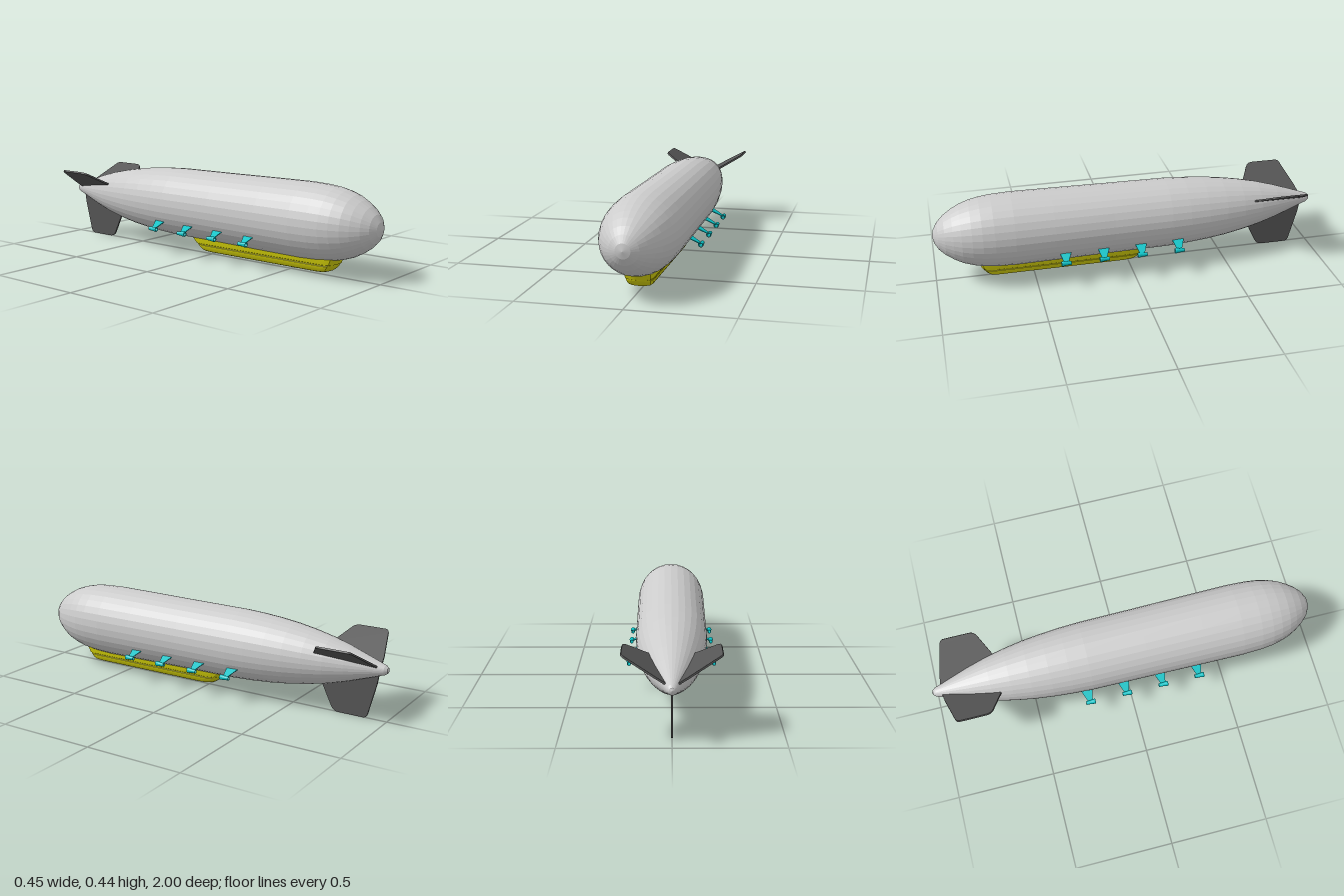
import * as THREE from 'three';
import { toCreasedNormals } from 'three/addons/utils/BufferGeometryUtils.js';

const AXIS_Y = 0.256;
const grey = new THREE.MeshStandardMaterial({ color: 0xcccccc, flatShading: true });
const dark = new THREE.MeshStandardMaterial({ color: 0x555555 });
const yellow = new THREE.MeshStandardMaterial({ color: 0xd2ce08, side: THREE.DoubleSide });
const teal = new THREE.MeshStandardMaterial({ color: 0x08c4c8, side: THREE.DoubleSide });

function add(parent, name, geometry, material) {
  const mesh = new THREE.Mesh(geometry, material);
  mesh.name = name;
  parent.add(mesh);
  return mesh;
}

// Flat plate: shape x runs outward, shape y runs along world z
function plate(shape, thickness) {
  const g = new THREE.ExtrudeGeometry(shape, { depth: thickness, bevelEnabled: false, curveSegments: 6 });
  g.translate(0, 0, -thickness / 2);
  g.rotateX(Math.PI / 2);
  return g;
}

// Envelope: [radius, z] from tail to nose
function hullGeometry() {
  const profile = [
    [0, -1], [0.014, -0.994], [0.024, -0.98], [0.034, -0.95], [0.051, -0.9], [0.085, -0.8],
    [0.114, -0.7], [0.136, -0.6], [0.153, -0.5], [0.165, -0.4], [0.173, -0.3], [0.178, -0.2],
    [0.181, 0.1], [0.185, 0.4], [0.187, 0.6], [0.183, 0.7], [0.176, 0.76], [0.165, 0.81],
    [0.148, 0.86], [0.127, 0.9], [0.1, 0.94], [0.069, 0.972], [0.035, 0.992], [0, 1],
  ].map(([r, z]) => new THREE.Vector2(r, z));
  return new THREE.LatheGeometry(profile, 32).rotateX(Math.PI / 2);
}

// Tail fin with rounded outer corners
function finGeometry() {
  const s = new THREE.Shape();
  s.moveTo(0.03, -0.95);
  s.lineTo(0.08, -0.942);
  s.lineTo(0.235, -0.902);
  s.quadraticCurveTo(0.256, -0.897, 0.256, -0.878);
  s.lineTo(0.256, -0.75);
  s.quadraticCurveTo(0.256, -0.722, 0.232, -0.71);
  s.lineTo(0.12, -0.655);
  s.lineTo(0.03, -0.655);
  s.closePath();
  return plate(s, 0.009);
}

// Gondola: plan outlines stacked from the roof down to the keel
function gondolaGeometry() {
  // [y, half width, front z, back z]
  const levels = [
    [0.1, 0.071, 0.79, -0.115], [0.085, 0.07, 0.782, -0.11], [0.063, 0.067, 0.773, -0.09],
    [0.061, 0.064, 0.768, -0.085], [0.057, 0.064, 0.767, -0.083], [0.055, 0.066, 0.766, -0.08],
    [0.036, 0.061, 0.752, -0.06], [0.027, 0.056, 0.74, -0.048], [0.022, 0.047, 0.725, -0.04],
  ];
  // [fraction of half width, distance from the front (+) or back (-)]
  const half = [[0, 0.0001], [0.55, 0.006], [0.88, 0.02], [1, 0.05], [1, -0.075], [0.85, -0.03], [0.5, -0.006], [0, -0.0001]];
  const plan = [...half, ...half.slice(1, -1).reverse().map(([w, d]) => [-w, d])];
  const n = plan.length, pos = [], idx = [];
  for (const [y, w, zf, zb] of levels)
    for (const [fx, d] of plan) pos.push(fx * w, y, d > 0 ? zf - d : zb - d);
  for (let l = 0; l < levels.length - 1; l++)
    for (let i = 0; i < n; i++) {
      const a = l * n + i, b = l * n + (i + 1) % n;
      idx.push(a, a + n, b, b, a + n, b + n);
    }
  // Keel and roof caps
  const last = (levels.length - 1) * n;
  for (let i = 1; i < n - 1; i++) {
    idx.push(last, last + i + 1, last + i);
    idx.push(0, i, i + 1);
  }
  const g = new THREE.BufferGeometry();
  g.setAttribute('position', new THREE.Float32BufferAttribute(pos, 3));
  g.setIndex(idx);
  // Make every side face point outward
  const p = g.attributes.position, va = new THREE.Vector3(), vb = new THREE.Vector3(), vc = new THREE.Vector3();
  [va, vb, vc].forEach((v, k) => v.fromBufferAttribute(p, idx[18 + k]));
  const normal = vb.clone().sub(va).cross(vc.clone().sub(va));
  if (normal.x * (va.x + vb.x + vc.x) < 0)
    for (let i = 0; i < idx.length; i += 3) [idx[i + 1], idx[i + 2]] = [idx[i + 2], idx[i + 1]];
  g.setIndex(idx);
  return toCreasedNormals(g, 0.5);
}

// Hollow engine duct, wider at the front
function ductGeometry() {
  const profile = [
    [0.007, -0.025], [0.0095, -0.025], [0.0105, 0], [0.013, 0.016], [0.013, 0.022],
    [0.011, 0.025], [0.008, 0.023], [0.007, 0.012], [0.007, -0.025],
  ].map(([r, z]) => new THREE.Vector2(r, z));
  return toCreasedNormals(new THREE.LatheGeometry(profile, 16).rotateX(Math.PI / 2), 0.6);
}

// Strut flaring toward the hull
function strutGeometry() {
  const s = new THREE.Shape();
  s.moveTo(0.009, -0.014);
  s.lineTo(0.07, -0.038);
  s.lineTo(0.07, 0.024);
  s.lineTo(0.009, 0.012);
  s.closePath();
  return plate(s, 0.004);
}

export function createModel() {
  const model = new THREE.Group();
  model.name = 'airship';

  add(model, 'hull', hullGeometry(), grey).position.y = AXIS_Y;
  add(model, 'gondola', gondolaGeometry(), yellow);

  // Three fins, 120 degrees apart
  const fin = finGeometry();
  [['leftFin', 30], ['rightFin', 150], ['lowerFin', 270]].forEach(([name, deg]) => {
    const mesh = add(model, name, fin, dark);
    mesh.position.y = AXIS_Y;
    mesh.rotation.z = THREE.MathUtils.degToRad(deg);
  });

  // Four engines on each side
  const duct = ductGeometry(), strut = strutGeometry();
  for (const side of [1, -1])
    for (const z of [0.36, 0.165, -0.03, -0.225]) {
      const engine = new THREE.Group();
      engine.name = side > 0 ? 'leftEngine' : 'rightEngine';
      engine.position.set(side * 0.212, 0.138, z);
      add(engine, 'engineDuct', duct, teal);
      add(engine, 'engineStrut', strut, teal).rotation.z = Math.atan2(0.026, -0.052 * side);
      model.add(engine);
    }
  return model;
}
